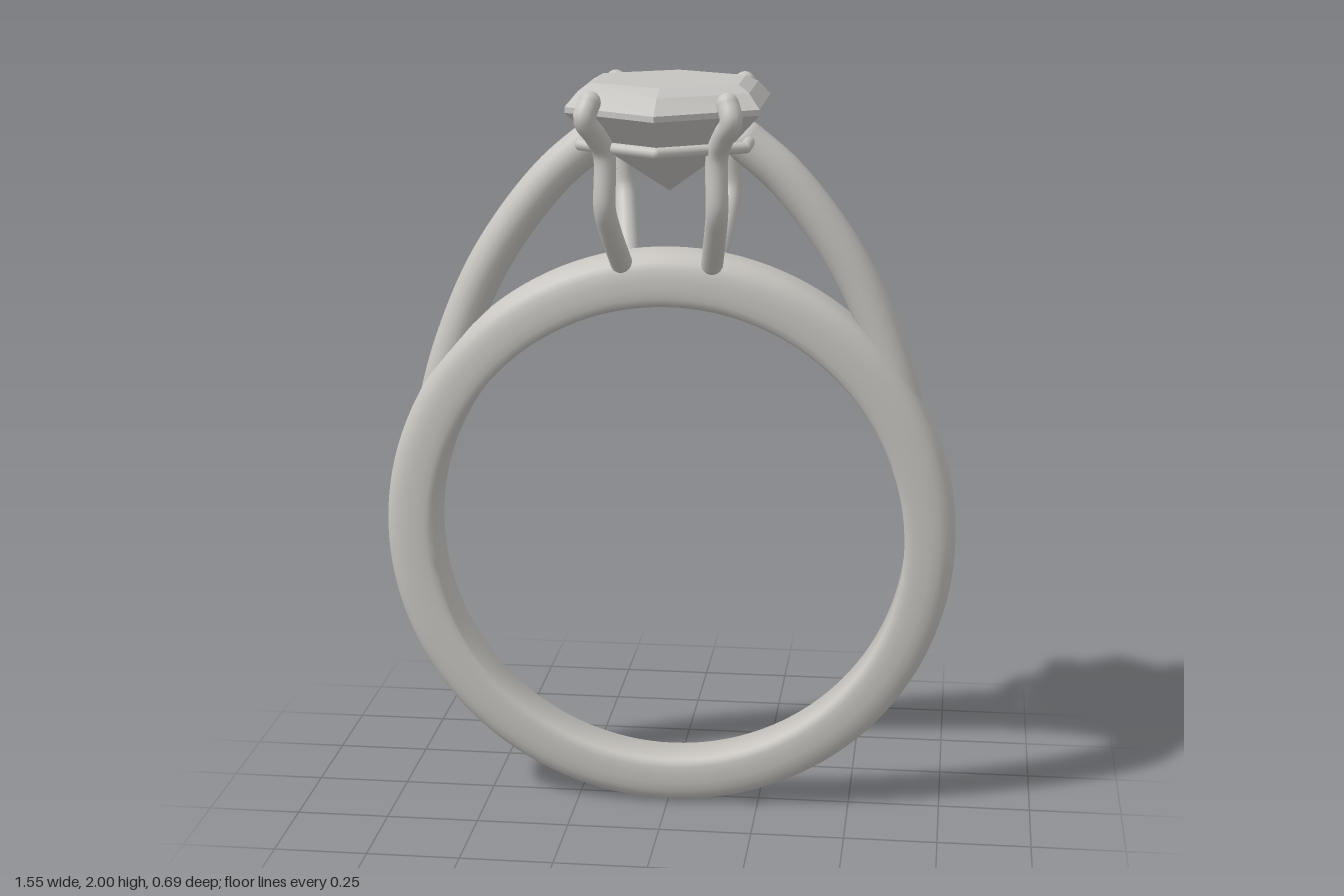
import * as THREE from 'three';
import { toCreasedNormals } from 'three/addons/utils/BufferGeometryUtils.js';

const metal = new THREE.MeshStandardMaterial({ color: 0xc8c5c0 });
metal.name = 'metal';
const stone = new THREE.MeshStandardMaterial({ color: 0xc6c4c1 });
stone.name = 'stone';

function add(parent, name, geometry, material) {
  const mesh = new THREE.Mesh(geometry, material);
  mesh.name = name;
  parent.add(mesh);
  return mesh;
}

// Finger band: a rounded section swept round two slightly offset circles
function bandGeometry() {
  const half = [[0, 0.86], [0.05, 0.94], [0.16, 0.99], [0.32, 1], [0.52, 0.99],
    [0.7, 0.94], [0.83, 0.85], [0.93, 0.7], [0.985, 0.5], [1, 0.25]];
  const profile = [...half, ...half.map(([u, z]) => [u, -z]).reverse()];
  const n = 128, m = profile.length, pos = [], index = [];
  for (let i = 0; i < n; i++) {
    const a = (i / n) * Math.PI * 2, c = Math.cos(a), s = Math.sin(a);
    const width = 0.0825 + 0.0075 * s;
    for (const [u, z] of profile) {
      const r = THREE.MathUtils.lerp(0.64, 0.775, u);
      const cy = THREE.MathUtils.lerp(0.77, 0.777, u);
      pos.push(r * c, cy + r * s, z * width);
    }
    for (let j = 0; j < m; j++) {
      const i2 = (i + 1) % n, j2 = (j + 1) % m;
      const p = i * m + j, q = i * m + j2, t = i2 * m + j, v = i2 * m + j2;
      index.push(p, q, t, q, v, t);
    }
  }
  const g = new THREE.BufferGeometry();
  g.setAttribute('position', new THREE.Float32BufferAttribute(pos, 3));
  g.setIndex(index);
  return toCreasedNormals(g, 0.9);
}

// Six corners, running anticlockwise seen from above
const hexagon = (y, sideX, sideZ, tipZ) => [
  [0, -tipZ], [-sideX, -sideZ], [-sideX, sideZ],
  [0, tipZ], [sideX, sideZ], [sideX, -sideZ],
].map(([x, z]) => new THREE.Vector3(x, y, z));

// Faceted stone: table, stepped crown, girdle, pavilion and culet
function gemGeometry() {
  const rings = [
    hexagon(2.0, 0, 0, 0),
    hexagon(2.0, 0.19, 0.11, 0.215),
    hexagon(1.982, 0.22, 0.14, 0.28),
    hexagon(1.945, 0.25, 0.175, 0.345),
    hexagon(1.93, 0.25, 0.175, 0.345),
    hexagon(1.84, 0.17, 0.12, 0.235),
    hexagon(1.707, 0, 0, 0),
  ];
  const points = [];
  const face = (a, b, c) => {
    if (new THREE.Triangle(a, b, c).getArea() > 1e-7) points.push(a, b, c);
  };
  for (let k = 0; k < rings.length - 1; k++) {
    for (let i = 0; i < 6; i++) {
      const j = (i + 1) % 6, up = rings[k], low = rings[k + 1];
      face(up[i], low[i], low[j]);
      face(up[i], low[j], up[j]);
    }
  }
  const g = new THREE.BufferGeometry().setFromPoints(points);
  g.computeVertexNormals();
  return g;
}

// Round rod along a smooth path with domed ends
function rod(parent, name, points, radius, segments) {
  const group = new THREE.Group();
  group.name = name;
  const path = points.map((p) => new THREE.Vector3(...p));
  const curve = new THREE.CatmullRomCurve3(path, false, 'centripetal');
  add(group, name + 'Shaft', new THREE.TubeGeometry(curve, segments, radius, 18), metal);
  for (const end of [path[0], path[path.length - 1]]) {
    add(group, name + 'End', new THREE.SphereGeometry(radius, 18, 12), metal).position.copy(end);
  }
  parent.add(group);
}

export function createModel() {
  const ring = new THREE.Group();
  ring.name = 'ring';
  add(ring, 'band', bandGeometry(), metal);
  add(ring, 'gem', gemGeometry(), stone);

  for (const sx of [1, -1]) {
    const side = sx > 0 ? 'left' : 'right';
    // Arched shoulder rising from the band to the setting
    rod(ring, side + 'Shoulder', [
      [0.645, 1.06, 0], [0.595, 1.25, 0], [0.505, 1.47, 0],
      [0.405, 1.63, 0], [0.3, 1.755, 0], [0.2, 1.84, 0],
    ].map(([x, y, z]) => [sx * x, y, z]), 0.055, 48);

    // Bent claws holding the stone
    for (const sz of [1, -1]) {
      rod(ring, side + (sz > 0 ? 'Front' : 'Back') + 'Claw', [
        [0.12, 1.525, 0.07], [0.138, 1.63, 0.16], [0.145, 1.69, 0.197],
        [0.145, 1.83, 0.2], [0.163, 1.88, 0.23], [0.186, 1.925, 0.262],
        [0.175, 1.966, 0.243],
      ].map(([x, y, z]) => [sx * x, y, sz * z]), 0.029, 40);
    }
  }

  // Hexagonal gallery wire beneath the stone
  const gallery = new THREE.Group();
  gallery.name = 'galleryWire';
  const corners = hexagon(1.845, 0.213, 0.15, 0.287);
  corners.forEach((a, i) => {
    const b = corners[(i + 1) % 6];
    add(gallery, 'wireSide', new THREE.TubeGeometry(new THREE.LineCurve3(a, b), 1, 0.015, 12), metal);
    add(gallery, 'wireCorner', new THREE.SphereGeometry(0.015, 12, 8), metal).position.copy(a);
  });
  ring.add(gallery);
  return ring;
}
